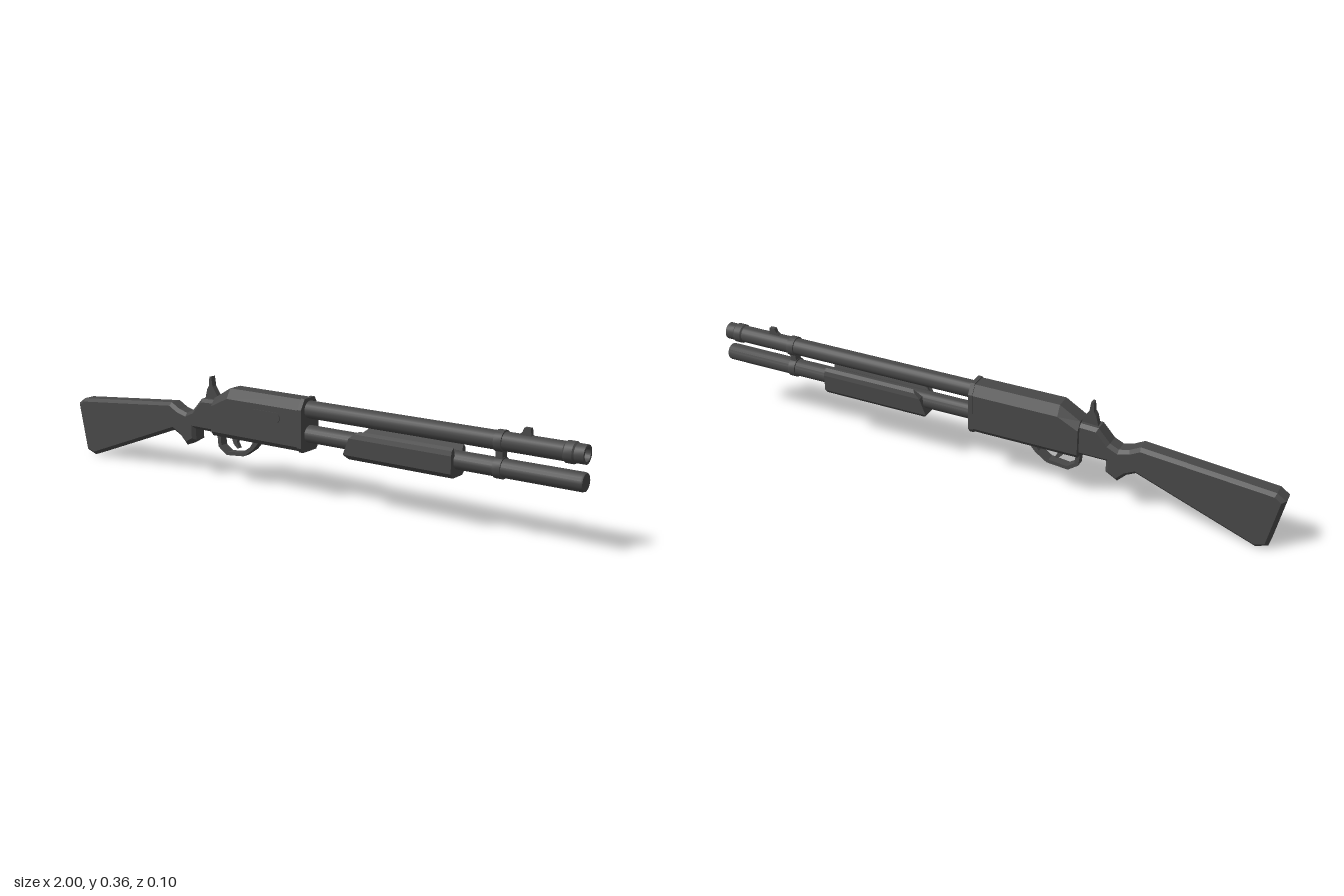
import * as THREE from 'three';
import { toCreasedNormals } from 'three/addons/utils/BufferGeometryUtils.js';

const gunmetal = new THREE.MeshStandardMaterial({ color: 0x484848 });
gunmetal.name = 'gunmetal';

const toShape = (pts) => new THREE.Shape(pts.map(([x, y]) => new THREE.Vector2(x, y)));
// Closes a half outline by mirroring it across the first coordinate
const mirrored = (half) => [...half, ...half.map(([a, b]) => [-a, b]).reverse()];

export function createModel() {
  const group = new THREE.Group();
  const add = (name, geometry) => {
    const mesh = new THREE.Mesh(geometry, gunmetal);
    mesh.name = name;
    group.add(mesh);
    return mesh;
  };

  // Side profile (x, y) given a thickness across z, with chamfered edges
  const slab = (name, shape, width, bevel = 0) => {
    const g = new THREE.ExtrudeGeometry(shape, {
      depth: width - 2 * bevel, bevelEnabled: bevel > 0, bevelThickness: bevel,
      bevelSize: bevel, bevelOffset: -bevel, bevelSegments: 1, curveSegments: 6,
    });
    g.translate(0, 0, -width / 2 + bevel);
    return add(name, g);
  };

  // Cross-section (z, y) swept from x0 to x1; rear(x, y) reshapes the x0 end
  const prism = (name, section, x0, x1, rear) => {
    const g = new THREE.ExtrudeGeometry(toShape(section), { depth: x1 - x0, bevelEnabled: false });
    g.rotateY(Math.PI / 2).translate(x0, 0, 0);
    if (rear) {
      const p = g.attributes.position;
      for (let i = 0; i < p.count; i++) {
        if (p.getX(i) < x0 + 1e-4) {
          const [x, y] = rear(p.getX(i), p.getY(i));
          p.setXY(i, x, y);
        }
      }
      g.computeVertexNormals();
    }
    return add(name, g);
  };

  // Round part along x from (radius, x) points
  const turned = (name, pts, y) => {
    const g = new THREE.LatheGeometry(pts.map(([r, x]) => new THREE.Vector2(r, x)), 20);
    g.rotateZ(-Math.PI / 2).translate(0, y, 0);
    return add(name, toCreasedNormals(g, 0.6));
  };

  // Receiver with sloping rear and front flange
  const body = mirrored([[0.035, 0.168], [0.046, 0.183], [0.046, 0.305], [0.026, 0.338]]);
  prism('receiver', body, -0.27, 0.03);
  prism('receiverRear', body, -0.34, -0.27, (x, y) => [x, y > 0.32 ? 0.296 : y > 0.25 ? 0.27 : y]);
  prism('receiverFlange', body.map(([z, y]) => [z * 1.04, 0.253 + (y - 0.253) * 1.04]), 0.025, 0.04);

  // Ejection port on the left-hand side
  const port = new THREE.Shape();
  port.absarc(-0.065, 0.268, 0.018, -Math.PI / 2, Math.PI / 2);
  port.absarc(-0.155, 0.268, 0.018, Math.PI / 2, Math.PI * 1.5);
  slab('ejectionPort', port, 0.004).position.z = 0.0465;

  // Barrel with open muzzle, and magazine tube
  turned('barrel', [[0.029, 0.03], [0.029, 0.935], [0.033, 0.94], [0.033, 0.965], [0.029, 0.97],
    [0.029, 1], [0.021, 1], [0.021, 0.9], [0, 0.9]], 0.303);
  turned('magazineTube', [[0.029, 0.03], [0.029, 0.995], [0.027, 1], [0, 1]], 0.222);

  // Clamp joining the two tubes
  const ring = [[0.028, 0.72], [0.0335, 0.72], [0.0335, 0.745], [0.028, 0.745]];
  turned('barrelClamp', ring, 0.303);
  turned('magazineClamp', ring, 0.222);
  const web = add('clampWeb', new THREE.BoxGeometry(0.022, 0.04, 0.03));
  web.position.set(0.7325, 0.262, 0);

  // Sliding fore-end: a trough around the magazine tube, cut back at the rear
  prism('foreEnd', mirrored([[0.028, 0.17], [0.043, 0.186], [0.044, 0.242], [0.04, 0.257],
    [0.029, 0.265], [0.022, 0.242]]), 0.2, 0.59,
  (x, y) => [x + Math.max(0, y - 0.225) * 1.3 + (y < 0.18 ? 0.012 : 0), y]);

  // Stock with wrist and grip
  slab('stock', toShape([[-1, 0.192], [-0.965, 0.008 + 0.012], [-0.925, 0.006], [-0.53, 0.157], [-0.5, 0.142],
    [-0.47, 0.112], [-0.43, 0.135], [-0.43, 0.175], [-0.33, 0.175], [-0.33, 0.288], [-0.4, 0.285],
    [-0.44, 0.24], [-0.47, 0.226], [-0.505, 0.235], [-0.54, 0.254], [-0.97, 0.213]]), 0.064, 0.011);

  // Trigger guard and trigger
  const guard = toShape([[-0.34, 0.175], [-0.335, 0.125], [-0.3, 0.1], [-0.225, 0.107], [-0.185, 0.135],
    [-0.15, 0.175]]);
  guard.holes.push(new THREE.Path([[-0.325, 0.168], [-0.18, 0.168], [-0.197, 0.143], [-0.232, 0.119],
    [-0.295, 0.112], [-0.322, 0.131]].map(([x, y]) => new THREE.Vector2(x, y))));
  slab('triggerGuard', guard, 0.03);
  slab('trigger', toShape([[-0.285, 0.172], [-0.275, 0.142], [-0.258, 0.127], [-0.25, 0.13], [-0.26, 0.148],
    [-0.255, 0.172]]), 0.014);

  // Sights
  slab('rearSight', toShape([[-0.395, 0.28], [-0.386, 0.318], [-0.378, 0.33], [-0.375, 0.362],
    [-0.367, 0.364], [-0.362, 0.33], [-0.34, 0.298], [-0.335, 0.28]]), 0.02);
  slab('frontSight', toShape([[0.785, 0.328], [0.83, 0.328], [0.826, 0.354], [0.806, 0.354], [0.8, 0.34]]), 0.014);

  return group;
}
